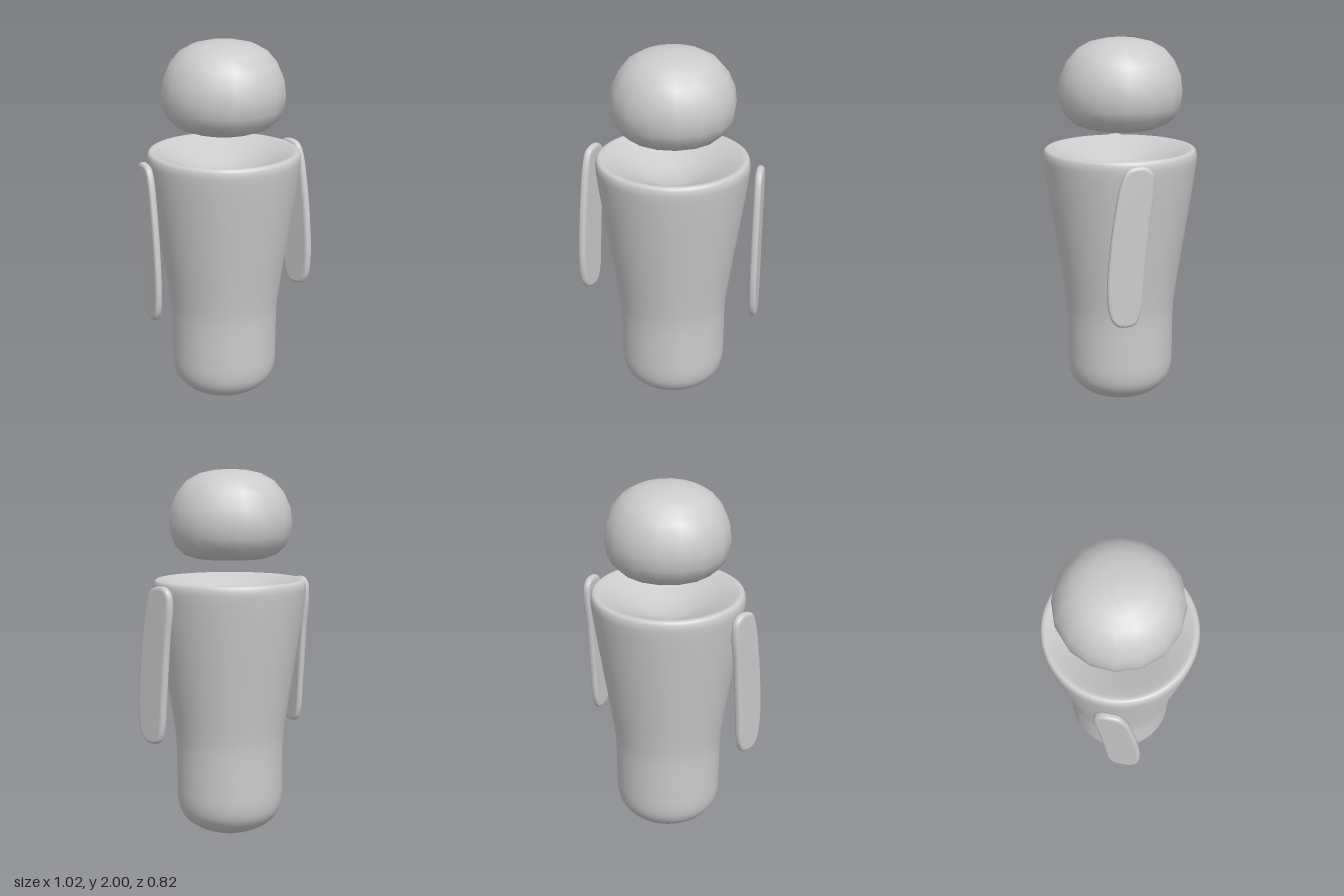
import * as THREE from 'three';
import { mergeVertices } from 'three/addons/utils/BufferGeometryUtils.js';

const material = new THREE.MeshStandardMaterial({ color: 0xcccccc, side: THREE.DoubleSide });
const points = (list) => list.map(([x, y]) => new THREE.Vector2(x, y));

function addMesh(group, name, geometry) {
  const mesh = new THREE.Mesh(geometry, material);
  mesh.name = name;
  group.add(mesh);
  return mesh;
}

// Flat rounded paddle, its front edge swung outward; side is +1 (left) or -1 (right)
function armGeometry(side) {
  const outline = [
    [-0.02, 1.407], [0.028, 1.39], [0.06, 1.33], [0.095, 1.16], [0.122, 0.95], [0.133, 0.76],
    [0.117, 0.63], [0.078, 0.58], [-0.01, 0.582], [-0.042, 0.64], [-0.06, 0.8], [-0.09, 1.13],
    [-0.11, 1.28], [-0.104, 1.37], [-0.07, 1.403],
  ].map(([z, y]) => new THREE.Vector3(-z, y, 0));
  const curve = new THREE.CatmullRomCurve3(outline, true);
  const shape = new THREE.Shape(points(curve.getPoints(70).slice(0, -1).map((p) => [p.x, p.y])));
  const depth = 0.01;
  let geometry = new THREE.ExtrudeGeometry(shape, {
    depth, bevelEnabled: true, bevelThickness: 0.015, bevelSize: 0.018, bevelOffset: -0.018,
    bevelSegments: 4, curveSegments: 1,
  });
  geometry.translate(0, 0, -depth / 2);
  geometry.rotateY(Math.PI / 2);
  const pos = geometry.attributes.position;
  for (let i = 0; i < pos.count; i++) {
    pos.setX(i, pos.getX(i) + side * (0.457 + 0.14 * (pos.getZ(i) + 0.11)));
  }
  geometry.deleteAttribute('normal');
  geometry.deleteAttribute('uv');
  geometry = mergeVertices(geometry, 1e-5);
  geometry.computeVertexNormals();
  return geometry;
}

export function createModel() {
  const model = new THREE.Group();
  model.name = 'figure';

  // Tapered body with a pointed underside and a dished top
  const bodyProfile = new THREE.SplineCurve(points([
    [0, 0], [0.1, 0.026], [0.2, 0.068], [0.26, 0.125], [0.285, 0.2], [0.289, 0.32], [0.291, 0.5],
    [0.302, 0.62], [0.333, 0.83], [0.367, 1.05], [0.395, 1.24], [0.409, 1.35], [0.409, 1.39],
    [0.4, 1.412], [0.382, 1.417], [0.355, 1.408], [0.3, 1.383], [0.2, 1.335], [0.1, 1.297], [0, 1.285],
  ]));
  addMesh(model, 'body', new THREE.LatheGeometry(bodyProfile.getPoints(76), 64));

  // Floating head: domed top, flattened base, sixteen sides
  const headProfile = points([
    [0, 1.528], [0.12, 1.528], [0.19, 1.53], [0.25, 1.552], [0.296, 1.595], [0.322, 1.65],
    [0.331, 1.72], [0.321, 1.8], [0.285, 1.88], [0.233, 1.94], [0.165, 1.977], [0.085, 1.995], [0, 2],
  ]);
  const head = addMesh(model, 'head', new THREE.LatheGeometry(headProfile, 16));
  head.position.z = -0.004;

  // Detached arms
  addMesh(model, 'leftArm', armGeometry(1));
  addMesh(model, 'rightArm', armGeometry(-1));

  return model;
}
